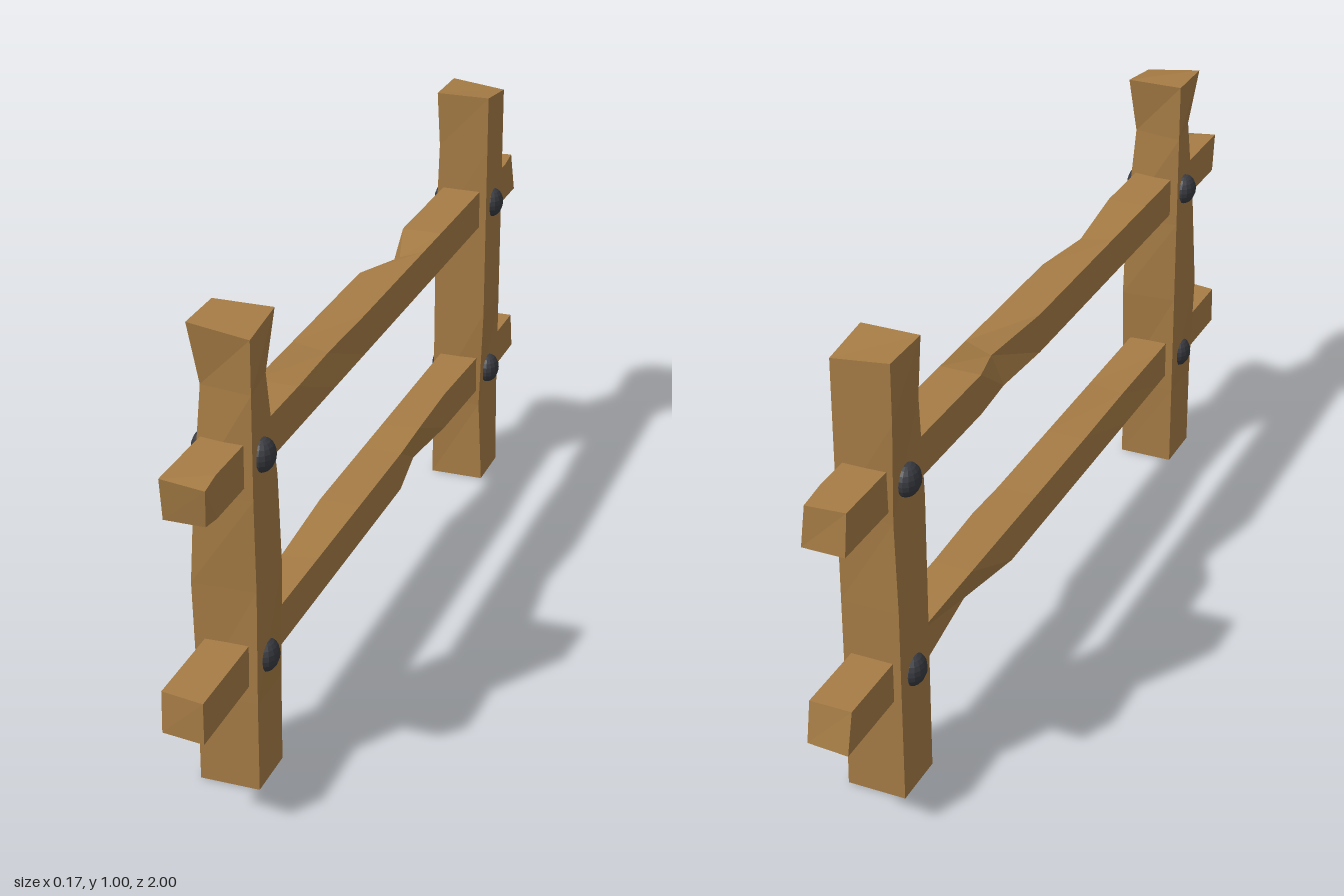
import * as THREE from 'three';

const wood = new THREE.MeshStandardMaterial({ color: 0xa67c45, flatShading: true });
const iron = new THREE.MeshStandardMaterial({ color: 0x3a3c42, flatShading: true });

// Hewn beam along z: square sections at the given stations.
// Each chip [station, corner, dx, dy, dz] moves one corner.
// Corners run counterclockwise: (-,-) (+,-) (+,+) (-,+).
function beam(name, halfW, halfH, stations, chips) {
  const sections = stations.map((z) => [
    new THREE.Vector3(-halfW, -halfH, z), new THREE.Vector3(halfW, -halfH, z),
    new THREE.Vector3(halfW, halfH, z), new THREE.Vector3(-halfW, halfH, z),
  ]);
  for (const [s, c, dx, dy, dz = 0] of chips) sections[s][c].add(new THREE.Vector3(dx, dy, dz));
  const points = [];
  const quad = (a, b, c, d) => points.push(a, b, c, a, c, d);
  for (let k = 0; k < sections.length - 1; k++) {
    const p = sections[k], q = sections[k + 1];
    for (let i = 0; i < 4; i++) {
      const j = (i + 1) % 4;
      quad(p[i], p[j], q[j], q[i]);
    }
  }
  const first = sections[0], last = sections[sections.length - 1];
  quad(last[0], last[1], last[2], last[3]);
  quad(first[3], first[2], first[1], first[0]);
  const geometry = new THREE.BufferGeometry().setFromPoints(points);
  geometry.computeVertexNormals();
  const mesh = new THREE.Mesh(geometry, wood);
  mesh.name = name;
  return mesh;
}

export function createModel() {
  const group = new THREE.Group();
  group.name = 'fence';

  // Upright posts, turned so the beam axis points up
  const heights = [0, 0.2, 0.45, 0.65, 0.87, 1];
  const frontPost = beam('frontPost', 0.064, 0.061, heights, [
    [4, 0, 0.018, 0.016], [3, 0, 0.004, 0.002], [2, 0, -0.007, 0], [2, 1, 0, 0.006],
    [4, 2, -0.014, -0.016], [2, 2, 0.002, 0.01], [1, 2, 0, 0.002],
    [5, 1, 0, 0, -0.018],
  ]);
  frontPost.position.z = 0.72;
  const backPost = beam('backPost', 0.063, 0.062, heights, [
    [1, 1, -0.01, 0.008], [0, 1, 0.003, 0], [0, 2, 0.003, 0],
    [4, 0, 0.006, 0.004], [3, 3, 0.008, -0.006], [5, 2, 0, 0, -0.015],
  ]);
  backPost.position.z = -0.745;
  for (const post of [frontPost, backPost]) {
    post.geometry.rotateX(-Math.PI / 2);
    group.add(post);
  }

  // Rails through both posts, with chipped edges and rough-cut ends
  const topRail = beam('topRail', 0.046, 0.045,
    [-0.975, -0.89, -0.39, -0.27, -0.1, 0.12, 0.3, 0.5, 0.91, 0.96], [
      [3, 3, 0.034, -0.022], [6, 2, -0.014, -0.013], [3, 0, 0.006, 0.004],
      [0, 2, -0.008, 0, 0.005], [0, 3, 0, 0, 0.012],
      [9, 1, -0.006, 0, -0.012], [9, 2, 0, -0.01, 0], [9, 0, 0, 0, -0.012],
    ]);
  topRail.position.y = 0.72;
  const bottomRail = beam('bottomRail', 0.046, 0.045,
    [-1, -0.68, -0.45, -0.25, -0.12, 0.15, 0.4, 0.6, 1], [
      [3, 1, -0.014, 0.018], [2, 1, -0.004, 0.006], [3, 2, 0, 0.006], [2, 2, -0.005, 0.004],
      [2, 0, 0.018, 0.02], [6, 3, 0.008, -0.01],
      [0, 2, 0, 0, 0.022], [0, 3, 0, 0, 0.022], [0, 1, 0, 0, 0.006],
      [8, 0, 0, 0, -0.012], [8, 3, 0, 0, -0.015],
    ]);
  bottomRail.position.y = 0.283;
  group.add(topRail, bottomRail);

  // Domed bolt heads on both sides of every joint
  const head = new THREE.SphereGeometry(0.035, 14, 10);
  for (const z of [0.72, -0.745]) {
    for (const y of [0.72, 0.28]) {
      for (const side of [-1, 1]) {
        const bolt = new THREE.Mesh(head, iron);
        bolt.name = 'bolt';
        bolt.scale.x = 0.75;
        bolt.position.set(side * 0.059, y, z);
        group.add(bolt);
      }
    }
  }
  return group;
}
